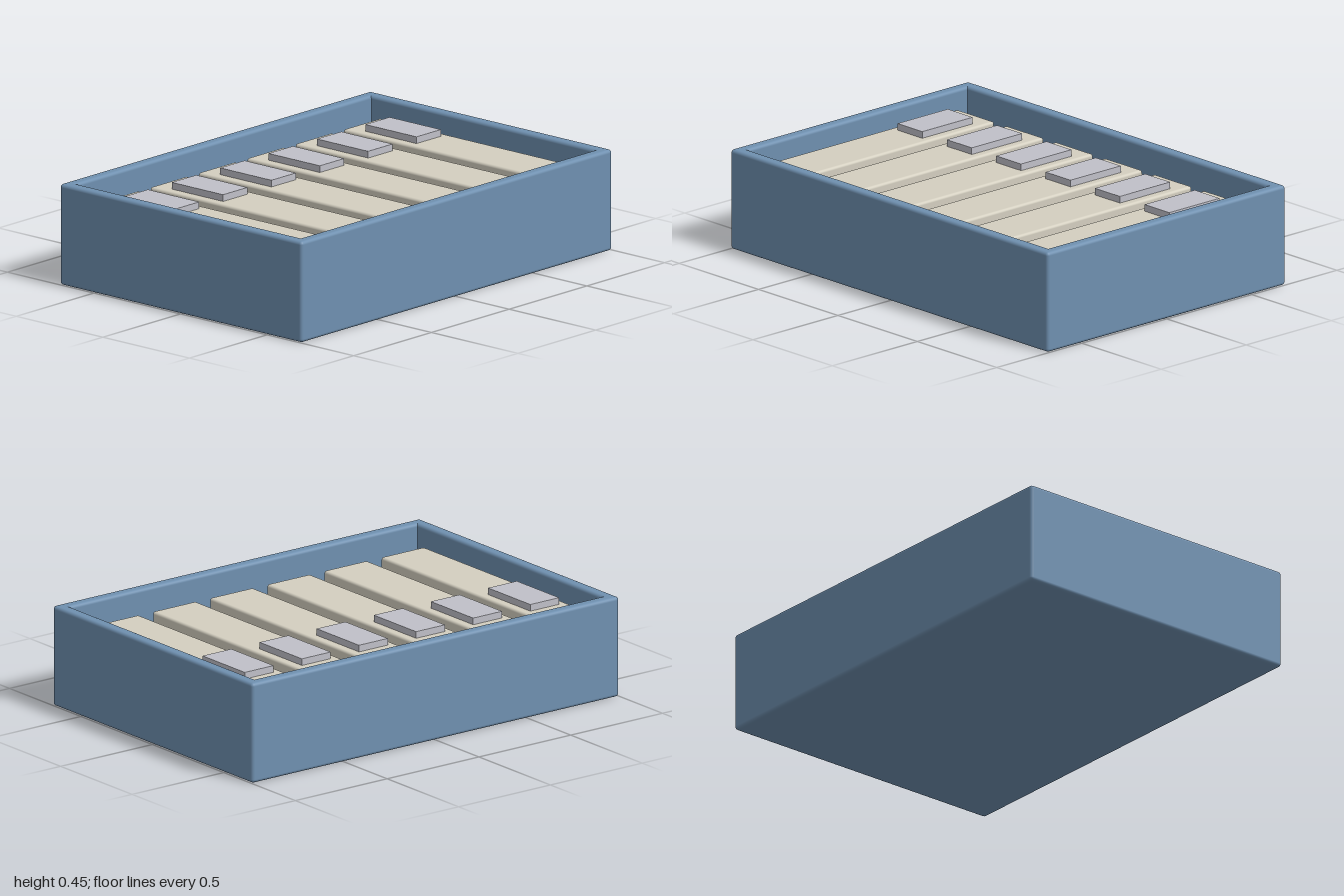
import * as THREE from 'three';
import { RoundedBoxGeometry } from 'three/addons/geometries/RoundedBoxGeometry.js';

const W = 2, H = 0.45, D = 1.4;      // outer size of the tray
const WALL = 0.055, FLOOR = 0.05, EDGE = 0.015;

const blue = new THREE.MeshStandardMaterial({ color: 0x6f90b0 });
const cream = new THREE.MeshStandardMaterial({ color: 0xd4cfc0 });
const silver = new THREE.MeshStandardMaterial({ color: 0xc0c0c8 });

// Softly edged block, placed by its centre in x and z and by its underside in y
function block(name, material, [w, h, d], [x, y, z], radius) {
  const geometry = radius
    ? new RoundedBoxGeometry(w, h, d, 3, radius)
    : new THREE.BoxGeometry(w, h, d);
  const mesh = new THREE.Mesh(geometry, material);
  mesh.name = name;
  mesh.position.set(x, y + h / 2, z);
  return mesh;
}

export function createModel() {
  const model = new THREE.Group();
  model.name = 'trayOfBlocks';

  // Open tray: floor and four walls
  const tray = new THREE.Group();
  tray.name = 'tray';
  tray.add(block('floor', blue, [W, FLOOR, D], [0, 0, 0], EDGE));
  for (const s of [1, -1]) {
    tray.add(block(s > 0 ? 'frontWall' : 'backWall', blue,
      [W, H, WALL], [0, 0, s * (D - WALL) / 2], EDGE));
    tray.add(block(s > 0 ? 'leftWall' : 'rightWall', blue,
      [WALL, H, D], [s * (W - WALL) / 2, 0, 0], EDGE));
  }
  model.add(tray);

  // Six long blocks in a row, each with a raised plate near the back
  for (let i = 0; i < 6; i++) {
    const x = -0.785 + i * 0.311;
    const unit = new THREE.Group();
    unit.name = `unit${i + 1}`;
    unit.add(block('longBlock', cream, [0.236, 0.335, 1.09], [x, 0.045, 0], 0.012));
    unit.add(block('plate', silver, [0.157, 0.035, 0.296], [x, 0.375, -0.304]));
    model.add(unit);
  }
  return model;
}
